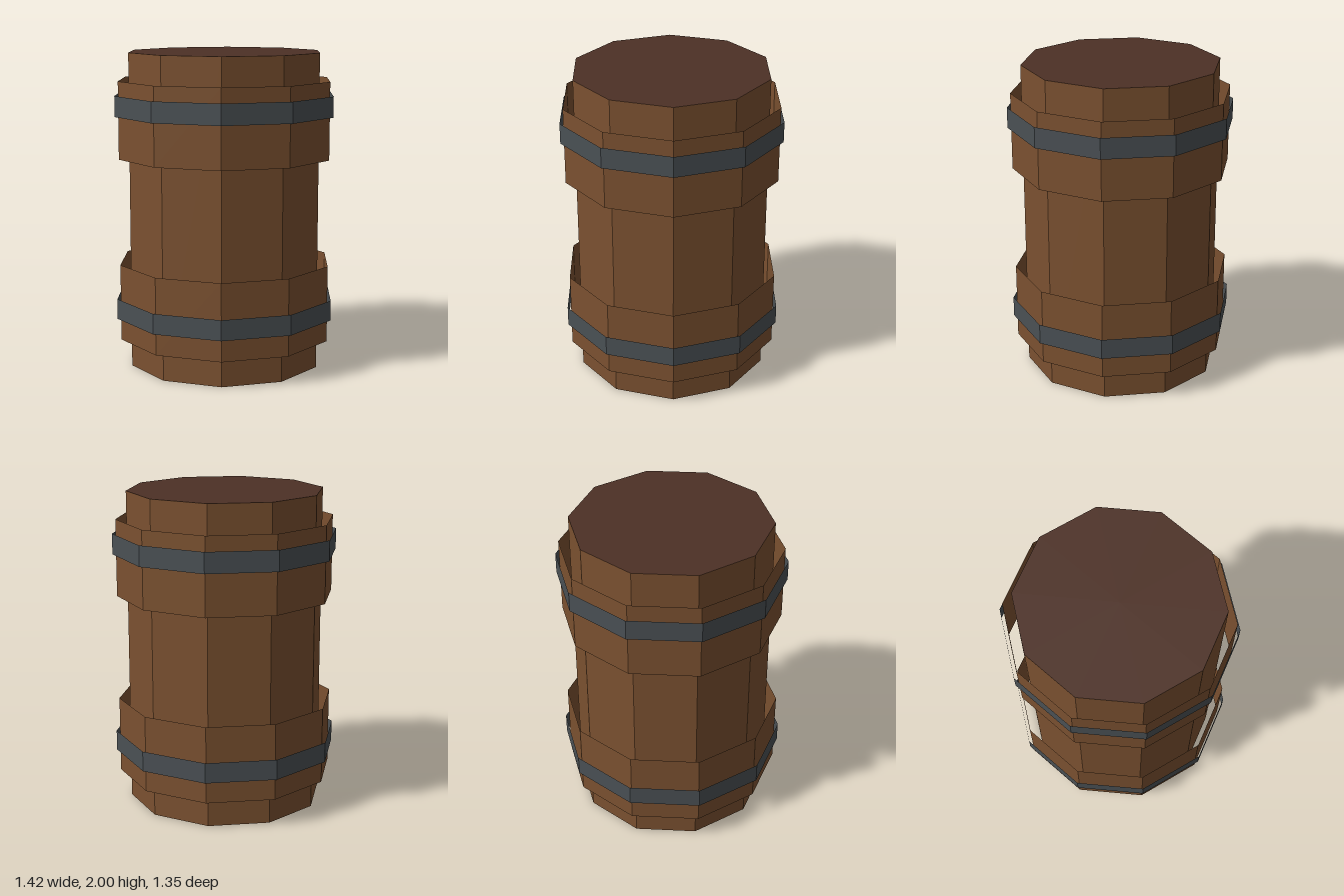
import * as THREE from 'three';

const SIDES = 10;

export function createModel() {
  const barrel = new THREE.Group();
  barrel.name = 'barrel';

  const material = (name, color) => {
    const m = new THREE.MeshStandardMaterial({ color, flatShading: true, side: THREE.DoubleSide });
    m.name = name;
    return m;
  };
  const wood = material('wood', 0x7b5130);
  const lidWood = material('dark lid wood', 0x4d3126);
  const iron = material('iron', 0x4a5054);

  // Open ten-sided sleeve with a corner on +x
  const sleeve = (name, radius, y0, y1, mat) => {
    const geometry = new THREE.CylinderGeometry(radius, radius, y1 - y0, SIDES, 1, true, Math.PI / 2);
    const mesh = new THREE.Mesh(geometry, mat);
    mesh.name = name;
    mesh.position.y = (y0 + y1) / 2;
    barrel.add(mesh);
  };

  // Body, open underneath
  sleeve('body', 0.62, 0, 2, wood);

  // Raised wooden bands and iron hoops, mirrored about mid height
  sleeve('lowerBand', 0.688, 0.178, 0.665, wood);
  sleeve('upperBand', 0.688, 1.338, 1.825, wood);
  sleeve('lowerHoop', 0.711, 0.316, 0.445, iron);
  sleeve('upperHoop', 0.711, 1.605, 1.735, iron);

  // Lid closing the top
  const lid = new THREE.Mesh(new THREE.CircleGeometry(0.62, SIDES), lidWood);
  lid.name = 'lid';
  lid.rotation.x = -Math.PI / 2;
  lid.position.y = 2;
  barrel.add(lid);

  return barrel;
}
